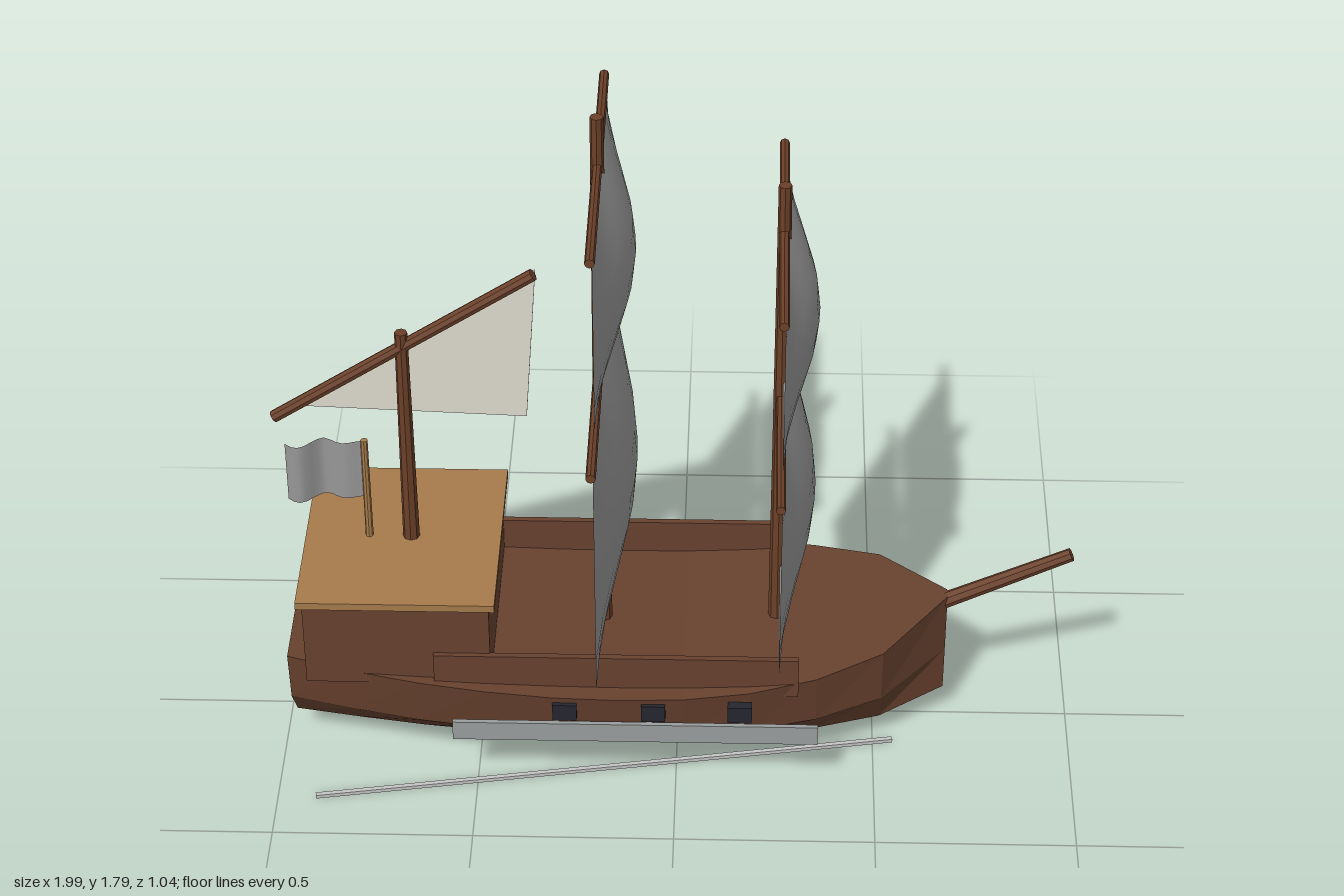
import * as THREE from 'three';

const mat = (name, color, opts = {}) => {
  const m = new THREE.MeshStandardMaterial({ color, ...opts });
  m.name = name;
  return m;
};

export function createModel() {
  const ship = new THREE.Group();
  ship.name = 'sailingShip';

  const hullWood = mat('hullWood', 0x68422f, { flatShading: true });
  const sparWood = mat('sparWood', 0x6b4029, { flatShading: true });
  const deckWood = mat('deckWood', 0xa67b4b, { flatShading: true });
  const canvas = mat('canvas', 0x979797, { side: THREE.DoubleSide });
  const paleCanvas = mat('paleCanvas', 0xdedbce, { side: THREE.DoubleSide });
  const trim = mat('trim', 0x9a9d9d);
  const foam = mat('foam', 0xc4c4c4);
  const dark = mat('dark', 0x25262f);

  const add = (name, geo, material, parent = ship) => {
    const m = new THREE.Mesh(geo, material);
    m.name = name;
    parent.add(m);
    return m;
  };
  const box = (name, size, pos, material) => {
    const m = add(name, new THREE.BoxGeometry(...size), material);
    m.position.set(...pos);
    return m;
  };
  // tapered round spar between two points
  const spar = (name, a, b, r0, r1, material = sparWood) => {
    const from = new THREE.Vector3(...a), to = new THREE.Vector3(...b);
    const dir = to.clone().sub(from);
    const m = add(name, new THREE.CylinderGeometry(r1, r0, dir.length(), 8), material);
    m.position.copy(from).add(to).multiplyScalar(0.5);
    m.quaternion.setFromUnitVectors(new THREE.Vector3(0, 1, 0), dir.normalize());
    return m;
  };

  // Hull: stations of [x, half width, sheer height, keel height]
  const stations = [
    [-0.97, 0.235, 0.355, 0.095], [-0.805, 0.265, 0.335, 0.083], [-0.64, 0.295, 0.325, 0.074],
    [-0.475, 0.315, 0.317, 0.067], [-0.31, 0.328, 0.312, 0.063], [-0.145, 0.332, 0.31, 0.06],
    [0.02, 0.328, 0.312, 0.06], [0.185, 0.31, 0.32, 0.064], [0.35, 0.27, 0.335, 0.072],
    [0.515, 0.2, 0.363, 0.084], [0.68, 0.015, 0.4, 0.1],
  ];
  const rings = stations.map(([x, w, top, keel]) => {
    const chine = keel + (top - keel) * 0.43;
    return [[x, top, w], [x, chine, w * 0.91], [x, keel, w * 0.55],
      [x, keel, -w * 0.55], [x, chine, -w * 0.91], [x, top, -w]];
  });
  const pos = [];
  const tri = (...p) => p.forEach((v) => pos.push(...v));
  for (let i = 0; i < rings.length - 1; i++) {
    const a = rings[i], b = rings[i + 1];
    for (let j = 0; j < 6; j++) {
      const k = (j + 1) % 6;
      tri(a[k], b[k], b[j]);
      tri(a[k], b[j], a[j]);
    }
  }
  const stern = rings[0], bow = rings[rings.length - 1];
  for (let k = 1; k < 5; k++) {
    tri(stern[0], stern[k + 1], stern[k]);
    tri(bow[0], bow[k], bow[k + 1]);
  }
  const hullGeo = new THREE.BufferGeometry();
  hullGeo.setAttribute('position', new THREE.Float32BufferAttribute(pos, 3));
  hullGeo.computeVertexNormals();
  add('hull', hullGeo, hullWood);

  // Stern cabin and its deck
  box('sternCabin', [0.46, 0.235, 0.54], [-0.69, 0.4225, 0], hullWood);
  box('cabinDeck', [0.49, 0.02, 0.556], [-0.69, 0.55, 0], deckWood);

  // Mirrored side details
  for (const s of [1, -1]) {
    box('bulwark', [0.905, 0.115, 0.016], [-0.148, 0.346, s * 0.275], hullWood);
    box('sideStrip', [0.91, 0.055, 0.012], [-0.1, 0.205, s * 0.328], trim);
    for (const x of [-0.275, -0.055, 0.16])
      box('gunPort', [0.06, 0.048, 0.024], [x, 0.27, s * 0.324], dark);
    const wake = box('wake', [1.476, 0.01, 0.012], [-0.177, 0.01, s * 0.242], foam);
    wake.rotation.y = s * Math.atan2(0.25, 1.455);
  }

  // Masts and bowsprit
  spar('mainMast', [-0.19, 0.28, 0], [-0.19, 1.795, 0], 0.022, 0.016);
  spar('foreMast', [0.25, 0.28, 0], [0.25, 1.615, 0], 0.022, 0.016);
  spar('mizzenMast', [-0.67, 0.55, 0], [-0.67, 1.18, 0], 0.021, 0.016);
  spar('bowsprit', [0.66, 0.37, 0], [0.985, 0.53, 0], 0.021, 0.017);

  // Square sails: mast x, yard height, yard half length, sail half width, sail foot
  const squares = [
    [-0.19, 1.14, 0.522, 0.5, 0.487], [-0.19, 1.663, 0.413, 0.392, 1.182],
    [0.25, 1.008, 0.46, 0.435, 0.487], [0.25, 1.485, 0.395, 0.37, 1.055],
  ];
  for (const [x, y, yardHalf, half, foot] of squares) {
    spar('yard', [x, y, -yardHalf], [x, y, yardHalf], 0.012, 0.012);
    const h = y - foot;
    const geo = new THREE.PlaneGeometry(half * 2, h, 12, 8);
    const p = geo.attributes.position;
    for (let i = 0; i < p.count; i++) {
      const u = p.getX(i) / (half * 2), v = p.getY(i) / h;
      p.setZ(i, 0.085 * Math.cos(u * Math.PI) * Math.cos(v * Math.PI));
    }
    geo.rotateY(Math.PI / 2);
    geo.computeVertexNormals();
    add('squareSail', geo, canvas).position.set(x + 0.004, (y + foot) / 2, 0);
  }

  // Gaff and triangular sail
  spar('gaff', [-0.993, 0.923, 0], [-0.347, 1.353, 0], 0.016, 0.016);
  const shape = new THREE.Shape([[-0.992, 0.888], [-0.93, 0.922], [-0.375, 0.9], [-0.345, 1.33]]
    .map(([x, y]) => new THREE.Vector2(x, y)));
  add('gaffSail', new THREE.ExtrudeGeometry(shape, { depth: 0.01, bevelEnabled: false }), paleCanvas)
    .position.z = -0.058;

  // Flag on its staff
  spar('flagStaff', [-0.775, 0.55, 0], [-0.775, 0.855, 0], 0.01, 0.009, deckWood);
  const flagGeo = new THREE.PlaneGeometry(0.19, 0.17, 12, 4);
  const fp = flagGeo.attributes.position;
  for (let i = 0; i < fp.count; i++) {
    const t = 0.5 - fp.getX(i) / 0.19;
    fp.setZ(i, 0.02 * Math.sin(t * Math.PI * 3) * Math.min(1, t * 2));
    fp.setY(i, fp.getY(i) - 0.012 * t);
  }
  flagGeo.computeVertexNormals();
  add('flag', flagGeo, canvas).position.set(-0.877, 0.767, 0);

  return ship;
}
